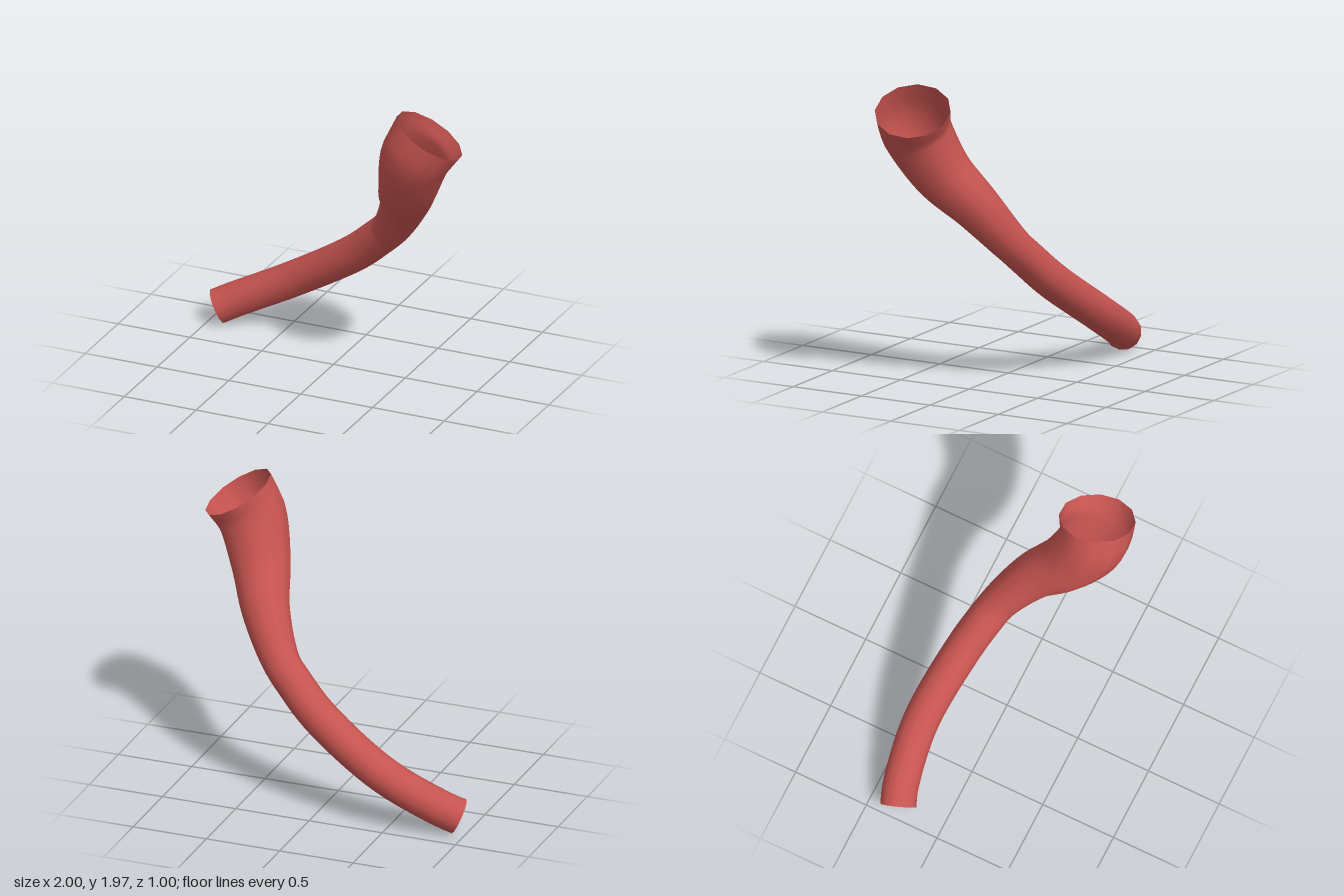
import * as THREE from 'three';

// Path of the horn: x, y, z and radius at each station
const STATIONS = [
  [-0.945, 0.11, -0.30, 0.117],
  [-0.85, 0.157, -0.335, 0.117],
  [-0.46, 0.355, -0.385, 0.118],
  [0.0, 0.65, -0.315, 0.12],
  [0.2, 0.825, -0.25, 0.12],
  [0.31, 0.935, -0.20, 0.123],
  [0.48, 1.2, -0.035, 0.157],
  [0.585, 1.42, 0.15, 0.193],
  [0.69, 1.68, 0.263, 0.225],
  [0.737, 1.765, 0.266, 0.234],
  [0.783, 1.845, 0.25, 0.244],
];
const ROWS = 48;
const SIDES = 12;

// Tube along a curve whose radius follows the stations
function flaredTube(stations) {
  const curve = new THREE.CatmullRomCurve3(
    stations.map(([x, y, z]) => new THREE.Vector3(x, y, z)));
  const radii = new THREE.SplineCurve(
    stations.map((s, i) => new THREE.Vector2(i, s[3])));
  const radiusAt = (u) =>
    radii.getPoint(curve.getUtoTmapping(THREE.MathUtils.clamp(u, 0, 1))).y;

  const geometry = new THREE.TubeGeometry(curve, ROWS, 1, SIDES, false);
  const position = geometry.attributes.position;
  const normal = geometry.attributes.normal;
  const length = curve.getLength();
  const out = new THREE.Vector3();
  const point = new THREE.Vector3();

  for (let row = 0; row <= ROWS; row++) {
    const u = row / ROWS;
    const centre = curve.getPointAt(u);
    const tangent = curve.getTangentAt(u);
    const radius = radiusAt(u);
    const a = Math.max(u - 0.01, 0);
    const b = Math.min(u + 0.01, 1);
    const slope = (radiusAt(b) - radiusAt(a)) / ((b - a) * length);
    for (let side = 0; side <= SIDES; side++) {
      const i = row * (SIDES + 1) + side;
      out.fromBufferAttribute(normal, i);
      point.copy(centre).addScaledVector(out, radius);
      position.setXYZ(i, point.x, point.y, point.z);
      // Lean the normal back where the tube widens
      out.addScaledVector(tangent, -slope).normalize();
      normal.setXYZ(i, out.x, out.y, out.z);
    }
  }
  return geometry;
}

export function createModel() {
  const group = new THREE.Group();
  group.name = 'flaredPipe';
  const red = new THREE.MeshStandardMaterial({ color: 0xc75450, side: THREE.DoubleSide });
  red.name = 'red';

  // Open-ended curved pipe
  const pipe = new THREE.Mesh(flaredTube(STATIONS), red);
  pipe.name = 'curvedPipe';
  group.add(pipe);
  return group;
}
